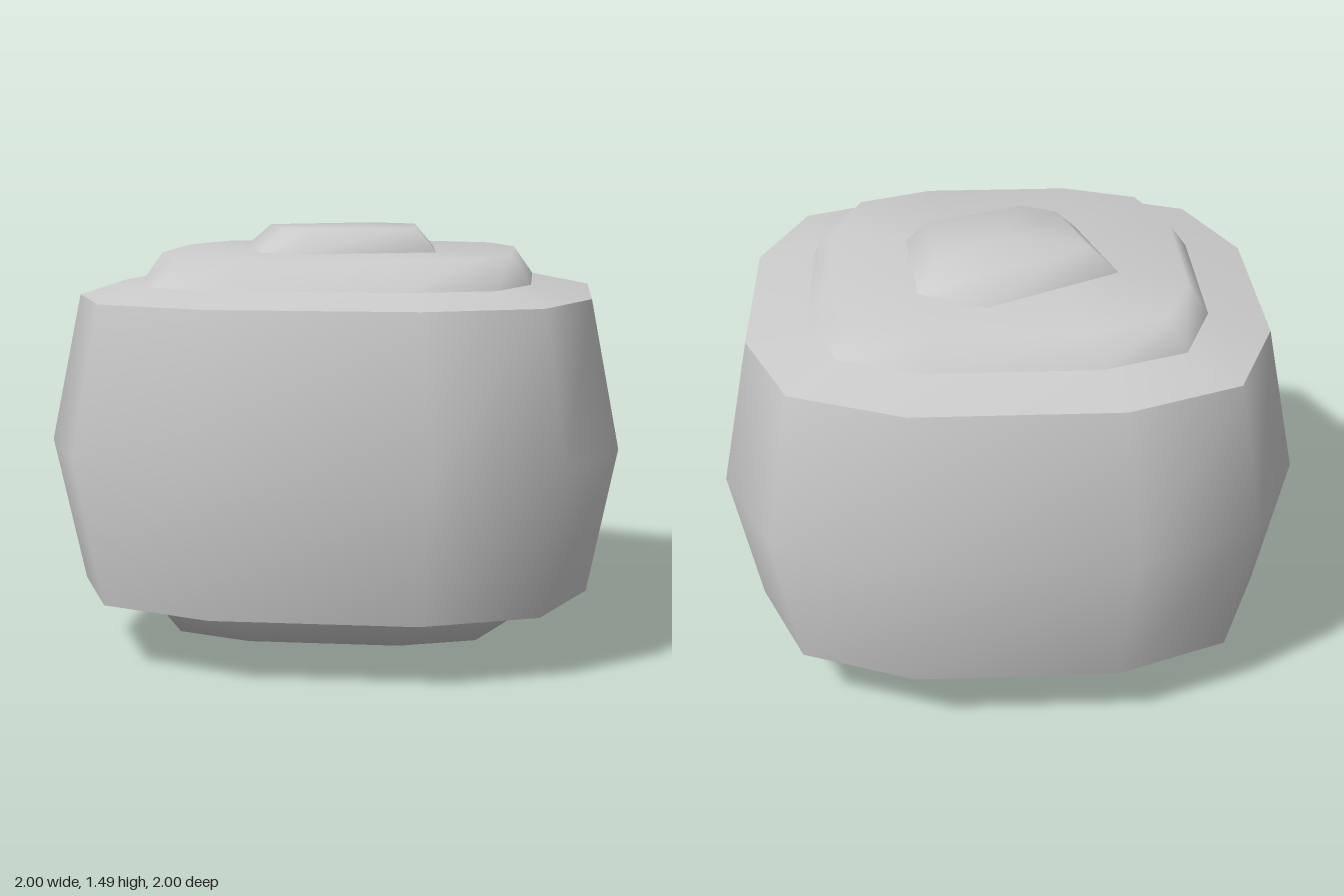
import * as THREE from 'three';

const MID = 0.745; // height of the widest ring

// Twelve-sided rounded square: half width w, flat half length f, corner c
function roundedSquare(w, f, c) {
  const quarter = [[w, -f], [w, f], [c, c]];
  const points = [];
  for (let q = 0; q < 4; q++) {
    for (const [x, z] of quarter) {
      let p = [x, z];
      for (let i = 0; i < q; i++) p = [-p[1], p[0]];
      points.push(p);
    }
  }
  return points;
}

// Ring of points at a height, optionally scaled and shifted in x
const ring = (outline, y, s = 1, dx = 0) => outline.map(([x, z]) => [x * s + dx, y, z * s]);

// Smooth skin through rings listed from bottom to top (or outside to centre on top)
function skin(rings) {
  const n = rings[0].length;
  const index = [];
  for (let r = 0; r < rings.length - 1; r++) {
    for (let j = 0; j < n; j++) {
      const k = (j + 1) % n;
      const a = r * n + j, b = r * n + k, c = a + n, d = b + n;
      index.push(a, c, b, b, c, d);
    }
  }
  const geometry = new THREE.BufferGeometry();
  geometry.setAttribute('position', new THREE.Float32BufferAttribute(rings.flat(2), 3));
  geometry.setIndex(index);
  geometry.computeVertexNormals();
  return geometry;
}

export function createModel() {
  const group = new THREE.Group();
  const material = new THREE.MeshStandardMaterial({ color: 0xcccccc });
  const add = (name, rings) => {
    const mesh = new THREE.Mesh(skin(rings), material);
    mesh.name = name;
    group.add(mesh);
  };

  const belly = roundedSquare(1, 0.39, 0.82);
  const rim = roundedSquare(0.9, 0.35, 0.74);
  const step = roundedSquare(0.69, 0.29, 0.58);
  const plate = roundedSquare(0.62, 0.26, 0.52);
  const knob = [[0.35, 0.15], [-0.11, 0.335], [-0.27, 0.25], [-0.39, -0.16], [0.08, -0.42], [0.31, -0.3]];

  // Bulging side wall
  add('body', [ring(rim, 0.23), ring(belly, MID), ring(rim, 1.26)]);

  // Shoulder, raised plate and irregular knob, mirrored below
  const ends = {
    Shoulder: [ring(rim, 1.26), ring(step, 1.303)],
    Plate: [ring(step, 1.303), ring(plate, 1.405), ring(plate, 1.405, 0)],
    Knob: [ring(knob, 1.405), ring(knob, 1.49, 0.76, 0.01), ring(knob, 1.49, 0, 0.01)],
  };
  for (const [name, rings] of Object.entries(ends)) {
    add('top' + name, rings);
    const flipped = rings.map((r) => r.map(([x, y, z]) => [x, 2 * MID - y, z]));
    add('bottom' + name, flipped.reverse());
  }
  return group;
}
